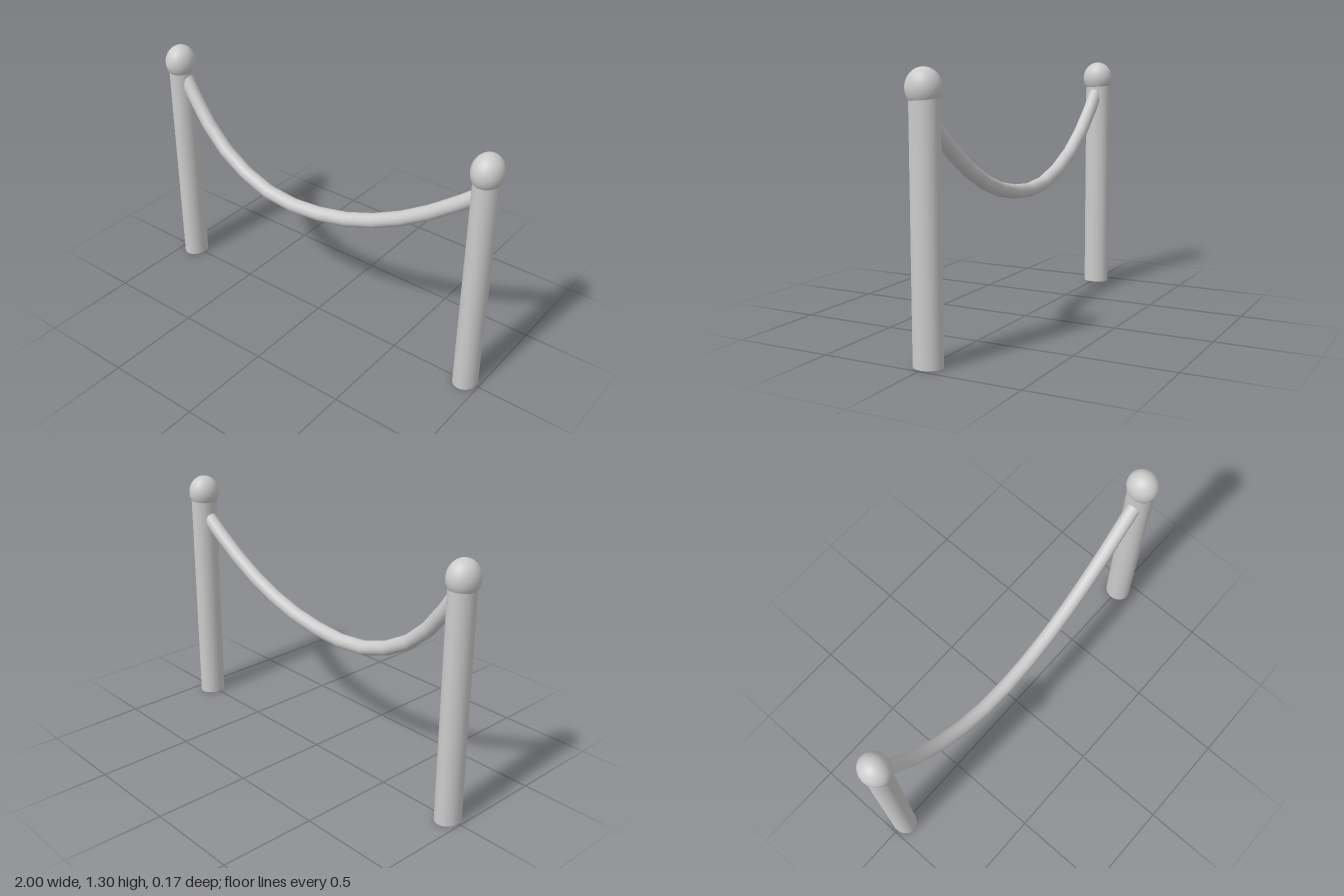
import * as THREE from 'three';

const material = new THREE.MeshStandardMaterial({ color: 0xcccccc });

function part(name, geometry) {
  const mesh = new THREE.Mesh(geometry, material);
  mesh.name = name;
  return mesh;
}

// Slightly oval post with an egg-shaped ball on top
function createPost(name, x) {
  const post = new THREE.Group();
  post.name = name;
  const shaft = part('shaft', new THREE.CylinderGeometry(1, 1, 1.163, 32));
  shaft.scale.set(0.062, 1, 0.071);
  shaft.position.set(0, 0.5815, -0.003);
  const ball = part('ball', new THREE.SphereGeometry(1, 32, 24));
  ball.scale.set(0.075, 0.09, 0.084);
  ball.position.y = 1.207;
  post.add(shaft, ball);
  post.position.x = x;
  return post;
}

// Sagging rope, lowest left of the middle and bowed a little forward
function createRope() {
  const path = [
    [-0.93, 1.175, -0.004], [-0.88, 1.1, 0], [-0.775, 0.957, 0.014],
    [-0.636, 0.82, 0.028], [-0.487, 0.727, 0.038], [-0.318, 0.663, 0.044],
    [-0.155, 0.642, 0.045], [0.005, 0.65, 0.043], [0.187, 0.682, 0.037],
    [0.358, 0.738, 0.029], [0.527, 0.818, 0.02], [0.68, 0.912, 0.012],
    [0.825, 1.018, 0.004], [0.93, 1.1, 0],
  ].map((p) => new THREE.Vector3(...p));
  const curve = new THREE.CatmullRomCurve3(path);
  const rope = part('rope', new THREE.TubeGeometry(curve, 13, 0.037, 16));
  return rope;
}

export function createModel() {
  const model = new THREE.Group();
  model.name = 'ropeBarrier';
  model.add(createPost('leftPost', 0.925), createPost('rightPost', -0.925), createRope());
  return model;
}
